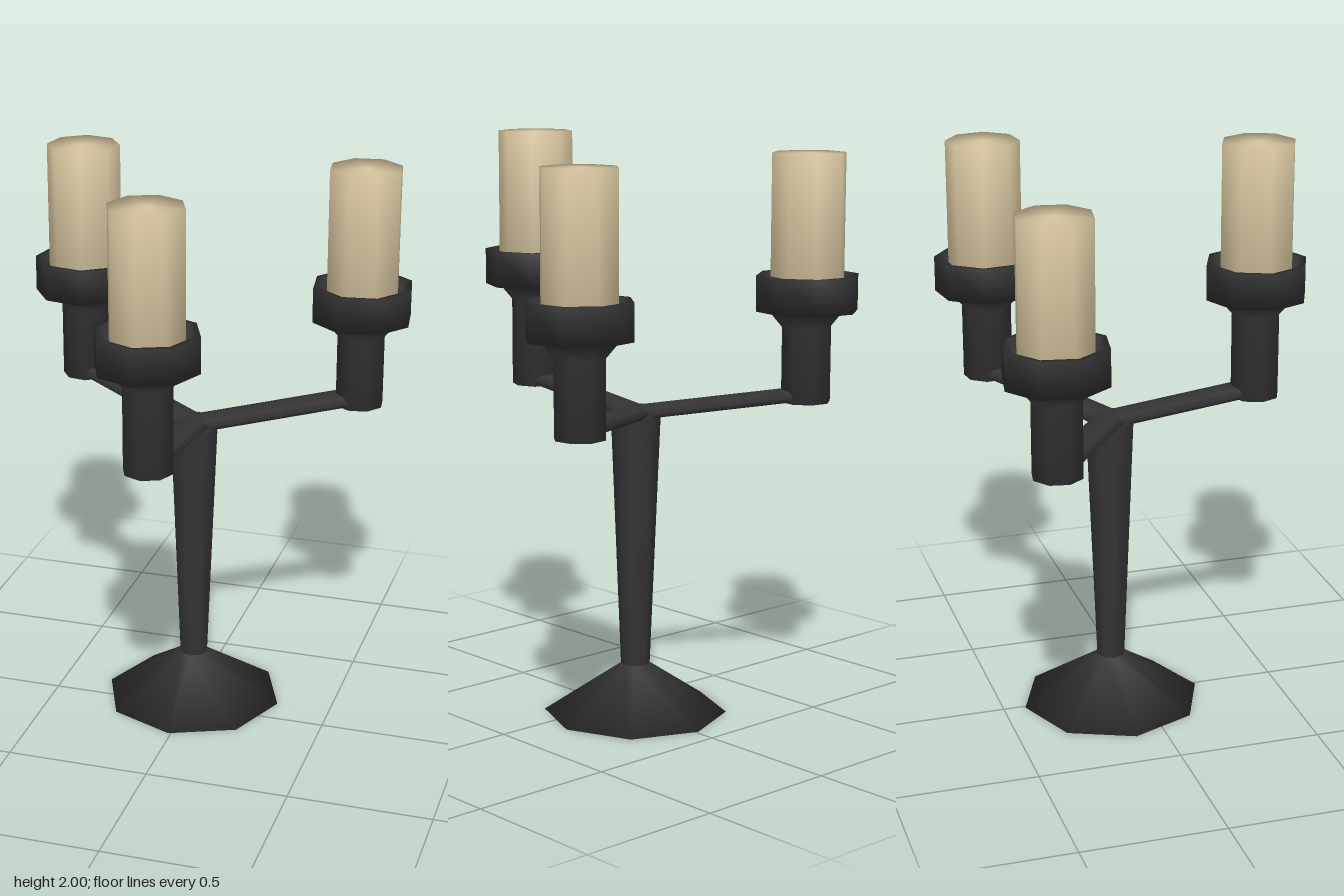
import * as THREE from 'three';

const SIDES = 8;

export function createModel() {
  const iron = new THREE.MeshStandardMaterial({ color: 0x333333 });
  const wax = new THREE.MeshStandardMaterial({ color: 0xd8c6a0 });
  const model = new THREE.Group();
  model.name = 'candelabra';

  // Eight-sided turned part from [radius, height] pairs, bottom to top
  const turned = (name, profile, material, parent) => {
    const points = profile.map(([r, y]) => new THREE.Vector2(r, y));
    const mesh = new THREE.Mesh(new THREE.LatheGeometry(points, SIDES), material);
    mesh.name = name;
    parent.add(mesh);
    return mesh;
  };

  const stand = new THREE.Group();
  stand.name = 'stand';
  stand.position.set(-0.01, 0, -0.105);
  model.add(stand);

  // Conical foot and a stem that widens upwards
  turned('base', [[0, 0], [0.318, 0], [0.05, 0.175]], iron, stand);
  turned('stem', [[0.05, 0.17], [0.085, 1.045], [0.06, 1.085], [0, 1.09]], iron, stand);

  // One branch pointing along +z: flattened arm, post, cup and candle
  const addBranch = (side, dx, dz, postBottom, cupBottom) => {
    const branch = new THREE.Group();
    branch.name = side + 'Branch';
    branch.rotation.y = Math.atan2(dx, dz);
    stand.add(branch);

    const reach = Math.hypot(dx, dz);
    const hubY = 1.064;
    const rise = postBottom + 0.028 - hubY;
    const length = Math.hypot(reach, rise);
    const armShape = new THREE.CylinderGeometry(0.061, 0.061, length, SIDES)
      .rotateX(Math.PI / 2)
      .scale(1, 0.42, 1)
      .translate(0, 0, length / 2);
    const arm = new THREE.Mesh(armShape, iron);
    arm.name = side + 'Arm';
    arm.position.y = hubY;
    arm.rotation.x = -Math.atan2(rise, reach);
    branch.add(arm);

    const holder = new THREE.Group();
    holder.name = side + 'Holder';
    holder.position.z = reach;
    branch.add(holder);
    const c = cupBottom;
    turned(side + 'Post', [[0, postBottom], [0.087, postBottom], [0.087, c - 0.055], [0.135, c + 0.002]], iron, holder);
    turned(side + 'Cup', [
      [0, c], [0.18, c], [0.18, c + 0.125], [0.158, c + 0.125], [0.145, c + 0.085], [0, c + 0.085],
    ], iron, holder);
    turned(side + 'Candle', [[0, c + 0.07], [0.13, c + 0.07], [0.13, c + 0.541], [0, c + 0.541]], wax, holder);
  };

  addBranch('front', 0, 0.525, 1.1, 1.459);
  addBranch('left', 0.52, -0.305, 1.085, 1.402);
  addBranch('right', -0.504, -0.32, 1.085, 1.402);

  return model;
}
